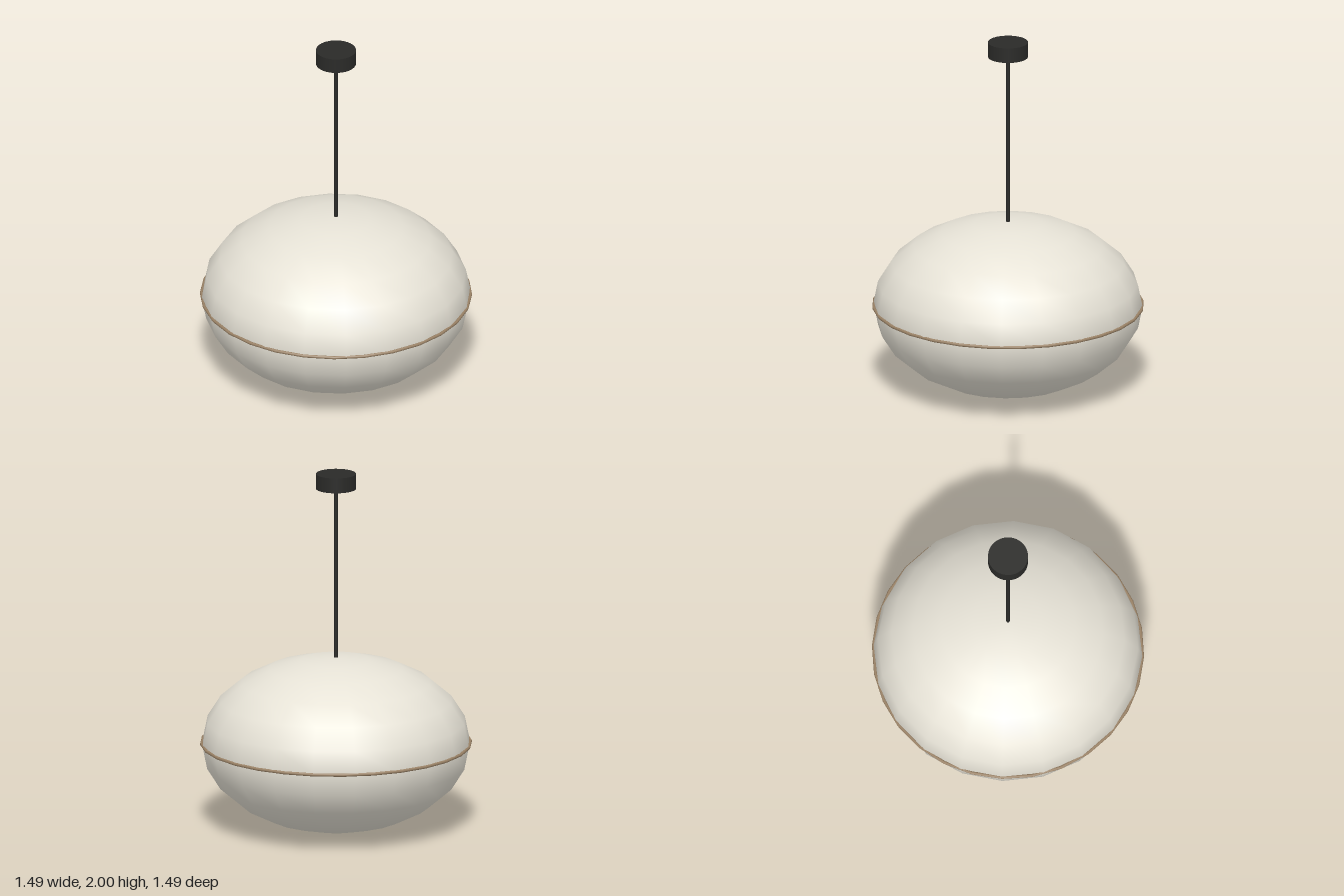
import * as THREE from 'three';

const paint = (color) => new THREE.MeshStandardMaterial({ color });

export function createModel() {
  const group = new THREE.Group();
  group.name = 'pendantLamp';
  const cream = paint(0xe6e2d6), bronze = paint(0x9a8266), black = paint(0x2a2a28);
  const midY = 0.482;

  const add = (name, geometry, material, y) => {
    const mesh = new THREE.Mesh(geometry, material);
    mesh.name = name;
    mesh.position.y = y;
    group.add(mesh);
  };

  // Flattened globe shade
  add('shade', new THREE.SphereGeometry(1, 20, 12).scale(0.738, 0.482, 0.738), cream, midY);

  // Thin band around the widest part
  add('seamRing', new THREE.TorusGeometry(0.737, 0.009, 8, 28).rotateX(Math.PI / 2), bronze, midY);

  // Suspension rod, from the top of the shade into the canopy
  const rodBottom = 0.95, rodTop = 1.93;
  add('rod', new THREE.CylinderGeometry(0.01, 0.01, rodTop - rodBottom, 12), black, (rodBottom + rodTop) / 2);

  // Ceiling canopy
  add('canopy', new THREE.CylinderGeometry(0.11, 0.11, 0.084, 32), black, 1.958);

  return group;
}
